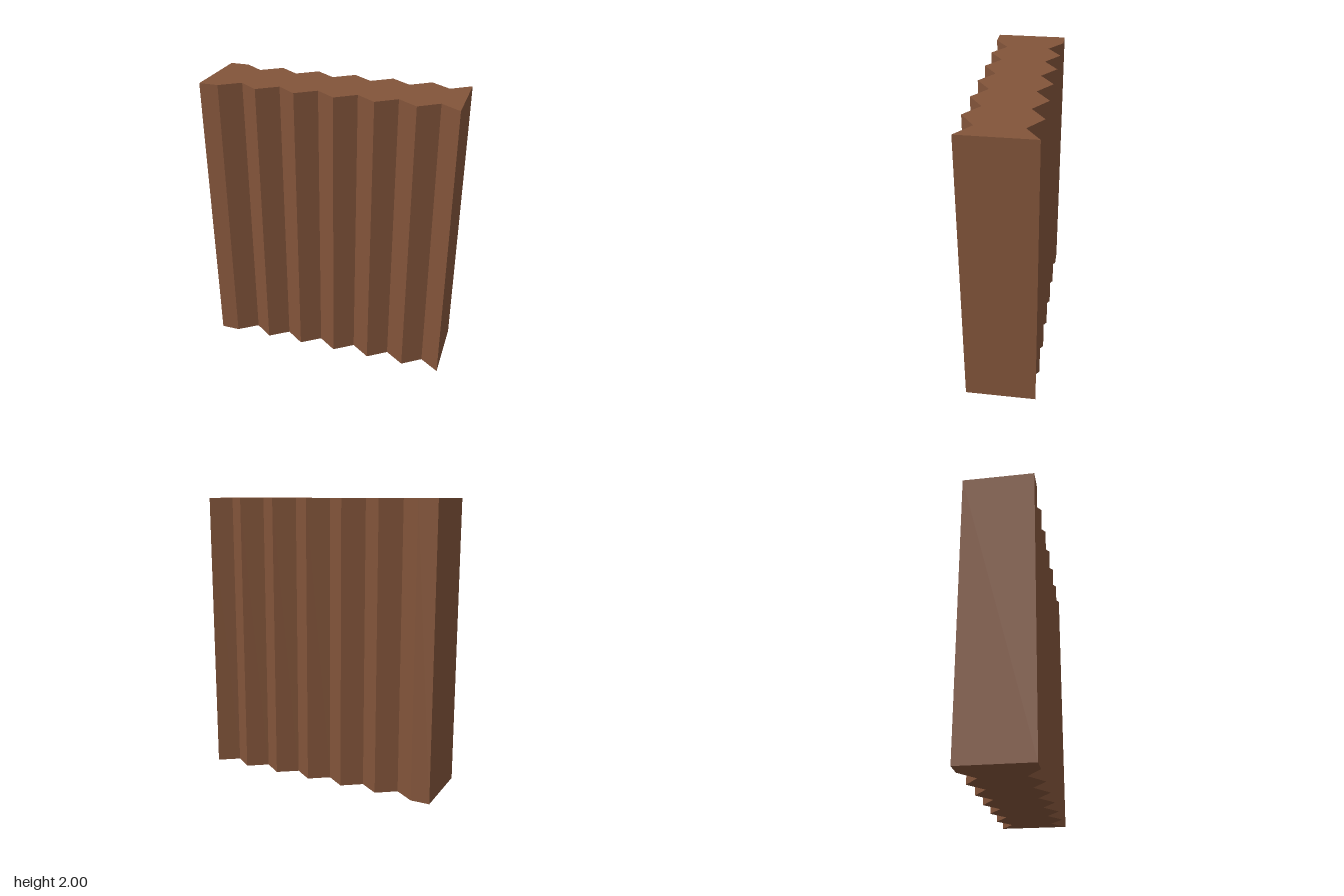
import * as THREE from 'three';

export function createModel() {
  const model = new THREE.Group();
  const brown = new THREE.MeshStandardMaterial({ color: 0x82543a });
  brown.name = 'brown';

  // Zigzag edge: one flat strip, then alternating grooves and ridges
  const halfWidth = 0.86, ridge = 0.245, groove = 0.15, steps = 13;
  const edge = [];
  for (let i = 0; i <= steps; i++) {
    const x = -halfWidth + (2 * halfWidth * i) / steps;
    edge.push(new THREE.Vector2(x, i > 0 && i % 2 === 0 ? groove : ridge));
  }

  // Mirror the edge to the other side and close the outline
  const mirrored = edge.map((p) => new THREE.Vector2(p.x, -p.y));
  const outline = new THREE.Shape([...mirrored, ...edge.reverse()]);

  // Extrude the outline upwards
  const geometry = new THREE.ExtrudeGeometry(outline, { depth: 2, bevelEnabled: false });
  geometry.rotateX(-Math.PI / 2);
  const panel = new THREE.Mesh(geometry, brown);
  panel.name = 'corrugatedPanel';
  model.add(panel);
  return model;
}
